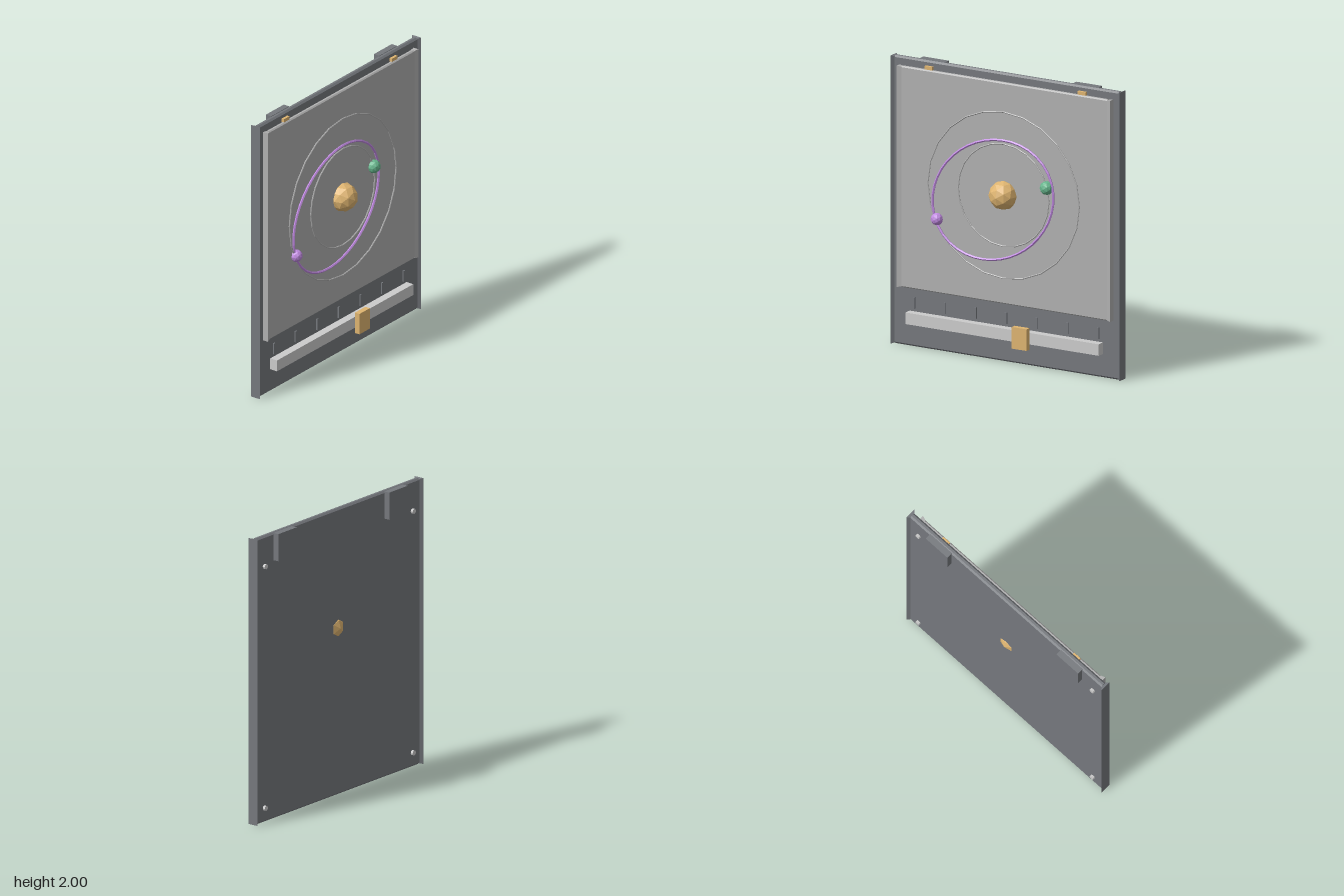
import * as THREE from 'three';

const mat = (color) => new THREE.MeshStandardMaterial({ color, flatShading: true });
const DARK = mat(0x75787d), SCREEN = mat(0xb0b0b0), GREY = mat(0xcccccc);
const GOLD = mat(0xdeb470), GREEN = mat(0x66b58c), PURPLE = mat(0xc08ae0);

export function createModel() {
  const model = new THREE.Group();

  function add(parent, name, geometry, material, x = 0, y = 0, z = 0) {
    const mesh = new THREE.Mesh(geometry, material);
    mesh.name = name;
    mesh.position.set(x, y, z);
    parent.add(mesh);
    return mesh;
  }
  const box = (name, w, h, d, material, x, y, z) =>
    add(model, name, new THREE.BoxGeometry(w, h, d), material, x, y, z);

  // Plate with chamfered top and bottom edges and a flared rail down each side
  function flaredPlate(name, material, o) {
    const group = new THREE.Group();
    group.name = name;
    group.position.set(0, o.y, o.z);
    model.add(group);
    const d = o.depth / 2, h = o.height / 2, c = o.chamfer;
    const profile = new THREE.Shape([
      [d, -h + c], [d, h - c], [d - c, h], [c - d, h],
      [-d, h - c], [-d, -h + c], [c - d, -h], [d - c, -h],
    ].map(([a, b]) => new THREE.Vector2(a, b)));
    const core = new THREE.ExtrudeGeometry(profile, { depth: o.inner * 2, bevelEnabled: false });
    core.translate(0, 0, -o.inner).rotateY(-Math.PI / 2);
    add(group, name + 'Core', core, material);

    const railWidth = o.outer - o.inner;
    for (const side of [-1, 1]) {
      const rail = new THREE.BoxGeometry(railWidth, o.height, o.flare);
      const p = rail.attributes.position;
      for (let i = 0; i < p.count; i++) {
        if (p.getX(i) * side < 0) {
          p.setZ(i, Math.sign(p.getZ(i)) * d);
          p.setY(i, Math.sign(p.getY(i)) * (h - c / 2));
        }
      }
      rail.computeVertexNormals();
      add(group, name + 'Rail', rail, material, side * (o.inner + railWidth / 2), 0, 0);
    }
  }

  flaredPlate('backPanel', DARK, {
    y: 1, z: -0.05, height: 2, depth: 0.04, chamfer: 0.012,
    inner: 0.877, outer: 0.896, flare: 0.076,
  });
  flaredPlate('screen', SCREEN, {
    y: 1.175, z: -0.015, height: 1.535, depth: 0.03, chamfer: 0.008,
    inner: 0.805, outer: 0.837, flare: 0.05,
  });

  // Closed orbit tube around an ellipse
  function orbit(name, cx, cy, z, rx, ry, tilt, tube, material, segments) {
    const points = new THREE.EllipseCurve(0, 0, rx, ry, 0, Math.PI * 2, false, tilt)
      .getPoints(segments).slice(0, -1)
      .map((p) => new THREE.Vector3(p.x, p.y, 0));
    const path = new THREE.CatmullRomCurve3(points, true);
    add(model, name, new THREE.TubeGeometry(path, segments, tube, 5, true), material, cx, cy, z);
  }
  orbit('outerOrbit', 0, 1.165, 0.007, 0.593, 0.577, 0, 0.005, SCREEN, 24);
  orbit('innerOrbit', 0, 1.165, 0.007, 0.355, 0.355, 0, 0.005, SCREEN, 24);
  orbit('tiltedOrbit', -0.08, 1.123, 0.012, 0.495, 0.399, 0.51, 0.009, PURPLE, 40);

  // Central sphere passes through the panel; the two small ones ride the orbits
  const ball = (name, r, material, x, y) =>
    add(model, name, new THREE.IcosahedronGeometry(r, 1), material, x, y, 0.01);
  ball('sun', 0.1, GOLD, 0, 1.165);
  ball('greenPlanet', 0.048, GREEN, 0.34, 1.265);
  ball('purplePlanet', 0.043, PURPLE, -0.52, 0.925);

  // Slider track, knob and scale marks
  box('sliderTrack', 1.515, 0.08, 0.065, GREY, 0, 0.205, -0.006);
  box('sliderKnob', 0.116, 0.15, 0.038, GOLD, 0.16, 0.205, 0.05);
  for (let i = -3; i <= 3; i++) {
    box('scaleMark', 0.015, 0.08, 0.02, DARK, i * 0.24, 0.305, -0.03);
  }

  // Mirrored fittings: top tabs, rear hanger blocks, rear screws
  for (const side of [-1, 1]) {
    box('topTab', 0.06, 0.025, 0.03, GOLD, side * 0.6, 1.953, -0.025);
    box('hangerBlock', 0.2, 0.19, 0.045, DARK, side * 0.6, 1.903, -0.0875);
    for (const y of [0.1, 1.79]) {
      const screw = new THREE.CylinderGeometry(0.018, 0.018, 0.02, 8).rotateX(Math.PI / 2);
      add(model, 'rearScrew', screw, GREY, side * 0.8, y, -0.077);
    }
  }
  return model;
}
